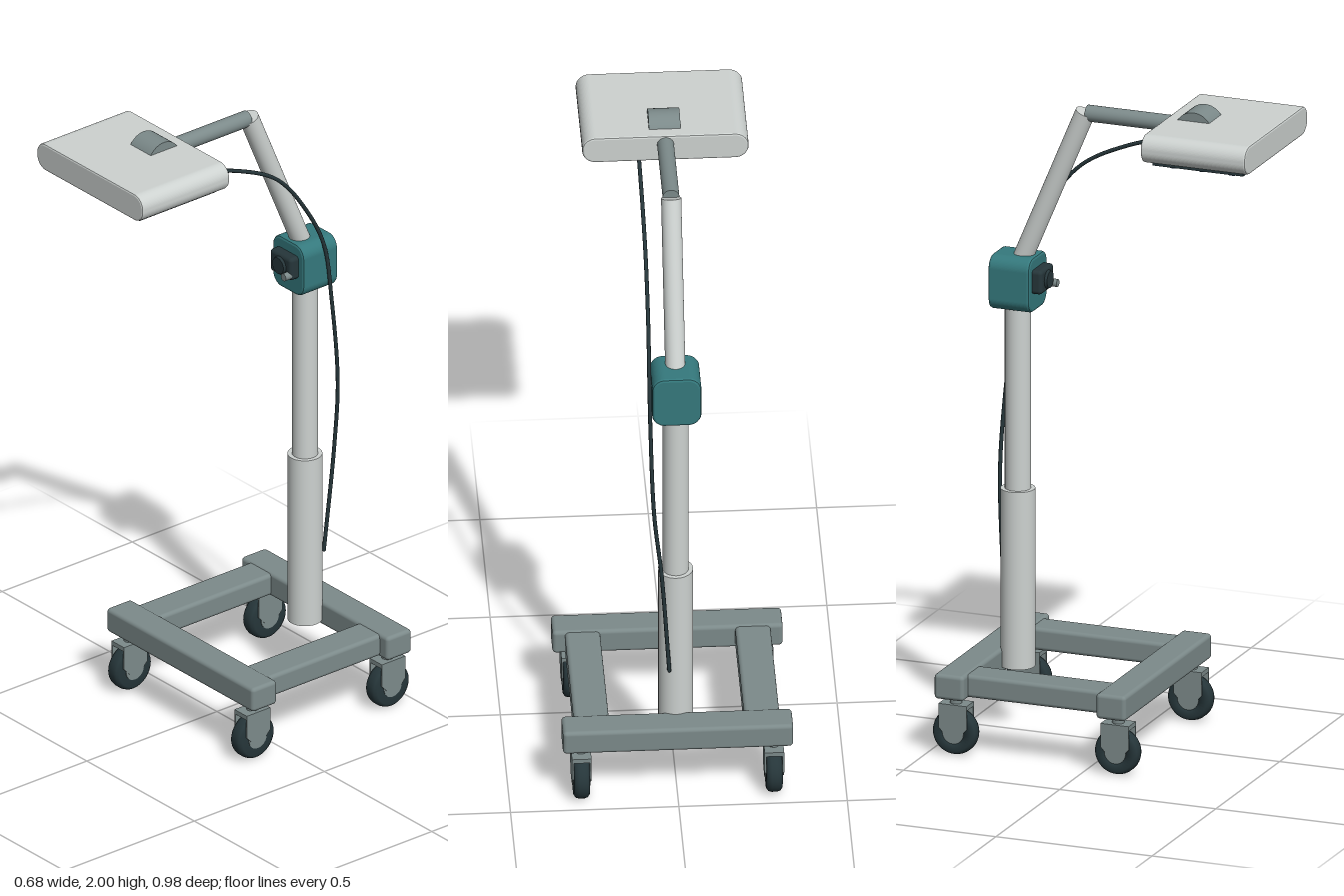
import * as THREE from 'three';
import { RoundedBoxGeometry } from 'three/addons/geometries/RoundedBoxGeometry.js';

const paint = (name, color) => {
  const m = new THREE.MeshStandardMaterial({ color });
  m.name = name;
  return m;
};

export function createModel() {
  const root = new THREE.Group();
  root.name = 'mobileLamp';
  const shell = paint('pale grey', 0xcdd2d0);
  const frame = paint('slate grey', 0x7c8a8a);
  const teal = paint('teal', 0x35797d);
  const rubber = paint('charcoal', 0x26363a);
  const blue = paint('lens blue', 0x4a78ac);

  const add = (parent, name, geo, mat, x = 0, y = 0, z = 0) => {
    const m = new THREE.Mesh(geo, mat);
    m.name = name;
    m.position.set(x, y, z);
    parent.add(m);
    return m;
  };
  const rbox = (w, h, d, r) => new RoundedBoxGeometry(w, h, d, 3, r);

  // Round tube between two points
  const rod = (name, a, b, r, mat) => {
    const from = new THREE.Vector3(...a), to = new THREE.Vector3(...b);
    const dir = to.clone().sub(from);
    const m = add(root, name, new THREE.CylinderGeometry(r, r, dir.length(), 32), mat);
    m.position.copy(from).add(to).multiplyScalar(0.5);
    m.quaternion.setFromUnitVectors(new THREE.Vector3(0, 1, 0), dir.normalize());
    return m;
  };

  // Rounded rectangle pushed along z with a slim bevel, centred on the origin
  const softSlab = (w, h, d, r, bevel) => {
    const x = w / 2 - bevel, y = h / 2 - bevel;
    const s = new THREE.Shape();
    s.moveTo(-x + r, -y);
    s.lineTo(x - r, -y).absarc(x - r, -y + r, r, -Math.PI / 2, 0);
    s.lineTo(x, y - r).absarc(x - r, y - r, r, 0, Math.PI / 2);
    s.lineTo(-x + r, y).absarc(-x + r, y - r, r, Math.PI / 2, Math.PI);
    s.lineTo(-x, -y + r).absarc(-x + r, -y + r, r, Math.PI, Math.PI * 1.5);
    return new THREE.ExtrudeGeometry(s, {
      depth: d - 2 * bevel, bevelSize: bevel, bevelThickness: bevel, bevelSegments: 2, curveSegments: 8,
    }).translate(0, 0, -d / 2 + bevel);
  };

  // Base frame
  add(root, 'frontBar', rbox(0.684, 0.078, 0.095, 0.012), frame, 0, 0.218, 0.097);
  add(root, 'backBar', rbox(0.684, 0.078, 0.095, 0.012), frame, 0, 0.218, -0.421);
  for (const s of [-1, 1]) {
    add(root, s > 0 ? 'leftRail' : 'rightRail', rbox(0.105, 0.07, 0.45, 0.012), frame, s * 0.253, 0.218, -0.162);
  }

  // Casters
  const tyreGeo = new THREE.LatheGeometry([
    [0.03, -0.024], [0.058, -0.024], [0.067, -0.018], [0.07, -0.008],
    [0.07, 0.008], [0.067, 0.018], [0.058, 0.024], [0.03, 0.024], [0.03, -0.024],
  ].map(([r, y]) => new THREE.Vector2(r, y)), 32).rotateZ(Math.PI / 2);
  const hubGeo = new THREE.CylinderGeometry(0.034, 0.034, 0.052, 24).rotateZ(Math.PI / 2);
  const plate = new THREE.Shape();
  plate.moveTo(-0.045, 0.158).lineTo(-0.045, 0.085).lineTo(-0.022, 0.06);
  plate.lineTo(0.022, 0.06).lineTo(0.045, 0.085).lineTo(0.045, 0.158);
  const plateGeo = new THREE.ExtrudeGeometry(plate, { depth: 0.005, bevelEnabled: false })
    .rotateY(Math.PI / 2).translate(-0.0025, 0, 0);
  for (const x of [-0.286, 0.286]) for (const z of [0.1, -0.419]) {
    const caster = new THREE.Group();
    caster.name = 'caster';
    caster.position.set(x, 0, z);
    root.add(caster);
    add(caster, 'tyre', tyreGeo, rubber, 0, 0.07, 0);
    add(caster, 'hub', hubGeo, frame, 0, 0.07, 0);
    for (const s of [-1, 1]) add(caster, 'forkPlate', plateGeo, frame, s * 0.0265);
    add(caster, 'forkCrown', new THREE.BoxGeometry(0.056, 0.014, 0.09), frame, 0, 0.151, 0);
    add(caster, 'stem', new THREE.CylinderGeometry(0.018, 0.018, 0.035, 20), frame, 0, 0.171, 0);
  }

  // Telescopic column
  rod('outerColumn', [0, 0.2, -0.338], [0, 0.752, -0.338], 0.052, shell);
  rod('innerColumn', [0, 0.7, -0.338], [0, 1.36, -0.338], 0.039, shell);

  // Joint housing with its clamp knob
  add(root, 'jointHousing', softSlab(0.146, 0.168, 0.132, 0.03, 0.008), teal, 0, 1.399, -0.339);
  add(root, 'clampBlock', rbox(0.1, 0.074, 0.04, 0.012), rubber, 0, 1.411, -0.262);
  add(root, 'clampKnob', new THREE.CylinderGeometry(0.026, 0.03, 0.012, 24).rotateX(Math.PI / 2), rubber, 0, 1.411, -0.24);
  add(root, 'clampPin', new THREE.CylinderGeometry(0.012, 0.012, 0.03, 16).rotateX(Math.PI / 2), frame, 0.037, 1.39, -0.24);

  // Sloping and level arms
  rod('slopingArm', [0, 1.43, -0.339], [0, 1.945, -0.122], 0.03, shell);
  rod('levelArm', [0, 1.943, -0.115], [0, 1.943, 0.2], 0.025, frame);

  // Lamp head
  add(root, 'lampHead', softSlab(0.494, 0.087, 0.335, 0.034, 0.006), shell, 0, 1.929, 0.322);
  add(root, 'headHinge', new THREE.CylinderGeometry(0.06, 0.06, 0.094, 40).rotateZ(Math.PI / 2), frame, 0, 1.94, 0.243);
  add(root, 'lightPanel', new THREE.BoxGeometry(0.41, 0.016, 0.29), rubber, 0, 1.883, 0.322);
  const lensGeo = new THREE.CylinderGeometry(0.021, 0.018, 0.014, 20);
  for (let i = 0; i < 4; i++) for (let j = 0; j < 3; j++) {
    add(root, 'lens', lensGeo, blue, -0.157 + i * 0.105, 1.87, 0.23 + j * 0.093);
  }

  // Power cable
  const path = new THREE.CatmullRomCurve3([
    [0.078, 1.888, 0.18], [0.078, 1.83, -0.02], [0.078, 1.75, -0.17], [0.078, 1.6, -0.287],
    [0.079, 1.47, -0.348], [0.077, 1.285, -0.377], [0.068, 1.0, -0.408],
    [0.046, 0.78, -0.414], [0.022, 0.42, -0.393],
  ].map((p) => new THREE.Vector3(...p)));
  add(root, 'cable', new THREE.TubeGeometry(path, 90, 0.006, 10), rubber);
  add(root, 'cableEnd', new THREE.SphereGeometry(0.006, 10, 8), rubber, 0.022, 0.42, -0.393);

  return root;
}
